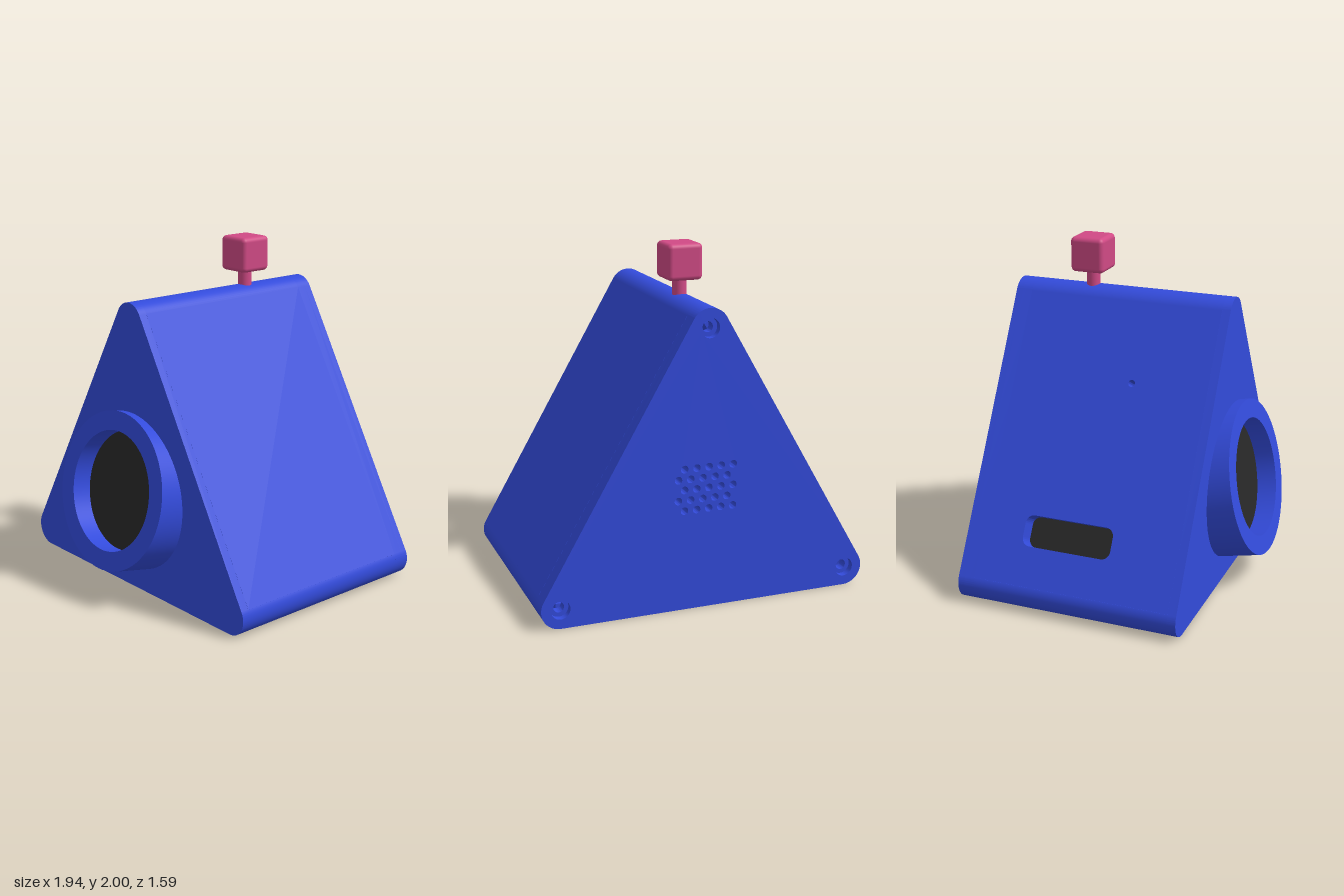
import * as THREE from 'three';
import { toCreasedNormals } from 'three/addons/utils/BufferGeometryUtils.js';
import { RoundedBoxGeometry } from 'three/addons/geometries/RoundedBoxGeometry.js';

const R = 0.11;            // corner radius of the triangular body
const HALF = 0.86;         // half distance between corner centres
const TOP = 1.60;          // height of the top corner centre
const MID = 0.607;         // height of the triangle centre
const FRONT = 0.545, BACK = -0.79;
const CAP = 0.05, REAR = 0.1, WALL = 0.104;
const CORNERS = [[0, TOP], [-HALF, R], [HALF, R]];

export function createModel() {
  const model = new THREE.Group();
  const blue = new THREE.MeshStandardMaterial({ color: 0x334bdb, side: THREE.DoubleSide });
  blue.name = 'blue';
  const dark = new THREE.MeshStandardMaterial({ color: 0x282828 });
  dark.name = 'dark';
  const pink = new THREE.MeshStandardMaterial({ color: 0xd04a85 });
  pink.name = 'pink';

  const add = (name, geometry, material, parent = model) => {
    const mesh = new THREE.Mesh(geometry, material);
    mesh.name = name;
    parent.add(mesh);
    return mesh;
  };
  const extrude = (shape, depth) => toCreasedNormals(
    new THREE.ExtrudeGeometry(shape, { depth, bevelEnabled: false, curveSegments: 20 }), 0.5);
  const ellipse = (x, y, rx, ry = rx) => new THREE.Path().absellipse(x, y, rx, ry, 0, Math.PI * 2, true);

  // Rounded triangle outline
  const outline = () => {
    const s = new THREE.Shape();
    CORNERS.forEach(([x, y], i) => {
      const a = Math.PI / 6 + i * Math.PI * 2 / 3;
      s.absarc(x, y, R, a, a + Math.PI * 2 / 3, false);
    });
    s.closePath();
    return s;
  };

  // Front cap, open behind the lens
  const front = outline();
  front.holes.push(ellipse(0, 0.60, 0.40, 0.41));
  add('frontCap', extrude(front, CAP), blue).position.z = FRONT - CAP;

  // Back plate in two layers: wide screw recesses outside, narrow bores inside
  [['backOuter', 0.055, BACK, 0.04], ['backInner', 0.03, BACK + 0.04, REAR - 0.04]].forEach(([name, r, z, depth]) => {
    const back = outline();
    CORNERS.forEach(([x, y]) => back.holes.push(ellipse(x, y, r)));
    // Staggered speaker holes
    for (let row = 0; row < 5; row++) {
      for (let col = 0; col < 5; col++) {
        back.holes.push(ellipse((col - 2) * 0.072 + (row % 2) * 0.036, 0.705 + (row - 2) * 0.06, 0.022));
      }
    }
    add(name, extrude(back, depth), blue).position.z = z;
  });

  // Rounded long edges
  const z0 = BACK + REAR, z1 = FRONT - CAP;
  CORNERS.forEach(([x, y], i) => {
    const start = Math.PI * 2 / 3 * (i + 1);
    const g = new THREE.CylinderGeometry(R, R, z1 - z0, 20, 1, true, start, Math.PI * 2 / 3);
    g.rotateX(Math.PI / 2);
    add('roundedEdge', g, blue).position.set(x, y, (z0 + z1) / 2);
  });

  // Three flat sides; local x runs towards the back, local z points outwards
  ['leftSide', 'rightSide', 'bottomSide'].forEach((name, i) => {
    const a = Math.PI / 6 + i * Math.PI * 2 / 3;
    const n = new THREE.Vector3(Math.cos(a), Math.sin(a), 0);
    const t = new THREE.Vector3(-n.y, n.x, 0);
    const side = new THREE.Group();
    side.name = name;
    side.quaternion.setFromRotationMatrix(
      new THREE.Matrix4().makeBasis(new THREE.Vector3(0, 0, -1), t, n));
    side.position.copy(n).multiplyScalar(MID).add(new THREE.Vector3(0, MID, 0));
    model.add(side);

    const s = new THREE.Shape();
    s.moveTo(-z1, -HALF).lineTo(-z0, -HALF).lineTo(-z0, HALF).lineTo(-z1, HALF).closePath();
    if (name === 'rightSide') {
      // Rounded port slot and pinhole
      const slot = new THREE.Path();
      const u0 = -0.10, u1 = 0.44, v0 = 0.45, v1 = 0.63, r = 0.05;
      slot.absarc(u1 - r, v1 - r, r, Math.PI / 2, 0, true);
      slot.absarc(u1 - r, v0 + r, r, 0, -Math.PI / 2, true);
      slot.absarc(u0 + r, v0 + r, r, -Math.PI / 2, -Math.PI, true);
      slot.absarc(u0 + r, v1 - r, r, Math.PI, Math.PI / 2, true);
      slot.closePath();
      s.holes.push(slot, ellipse(-0.04, -0.38, 0.02));
      add('portBacking', new THREE.BoxGeometry(0.58, 0.22, 0.008), dark, side)
        .position.set(0.17, 0.54, -WALL - 0.004);
    }
    add(name + 'Panel', extrude(s, WALL), blue, side).position.z = -WALL;
  });

  // Tilted lens ring with a recessed dark disc
  const lens = new THREE.Group();
  lens.name = 'lens';
  lens.position.set(0, 0.6325, 0.70);
  lens.rotation.x = THREE.MathUtils.degToRad(78);
  model.add(lens);
  const profile = [[0.4625, -0.3], [0.4625, 0], [0.35, 0], [0.35, -0.3]]
    .map(([r, h]) => new THREE.Vector2(r, h));
  add('lensRing', toCreasedNormals(new THREE.LatheGeometry(profile, 72), 0.5), blue, lens);
  add('lensDisc', new THREE.CylinderGeometry(0.352, 0.352, 0.04, 72), dark, lens).position.y = -0.14;

  // Knob on a short stem
  add('knobStem', new THREE.CylinderGeometry(0.04, 0.04, 0.16, 32), pink).position.set(0, 1.74, -0.333);
  add('knob', new RoundedBoxGeometry(0.206, 0.206, 0.206, 4, 0.027), pink).position.set(0, 1.897, -0.333);

  return model;
}
